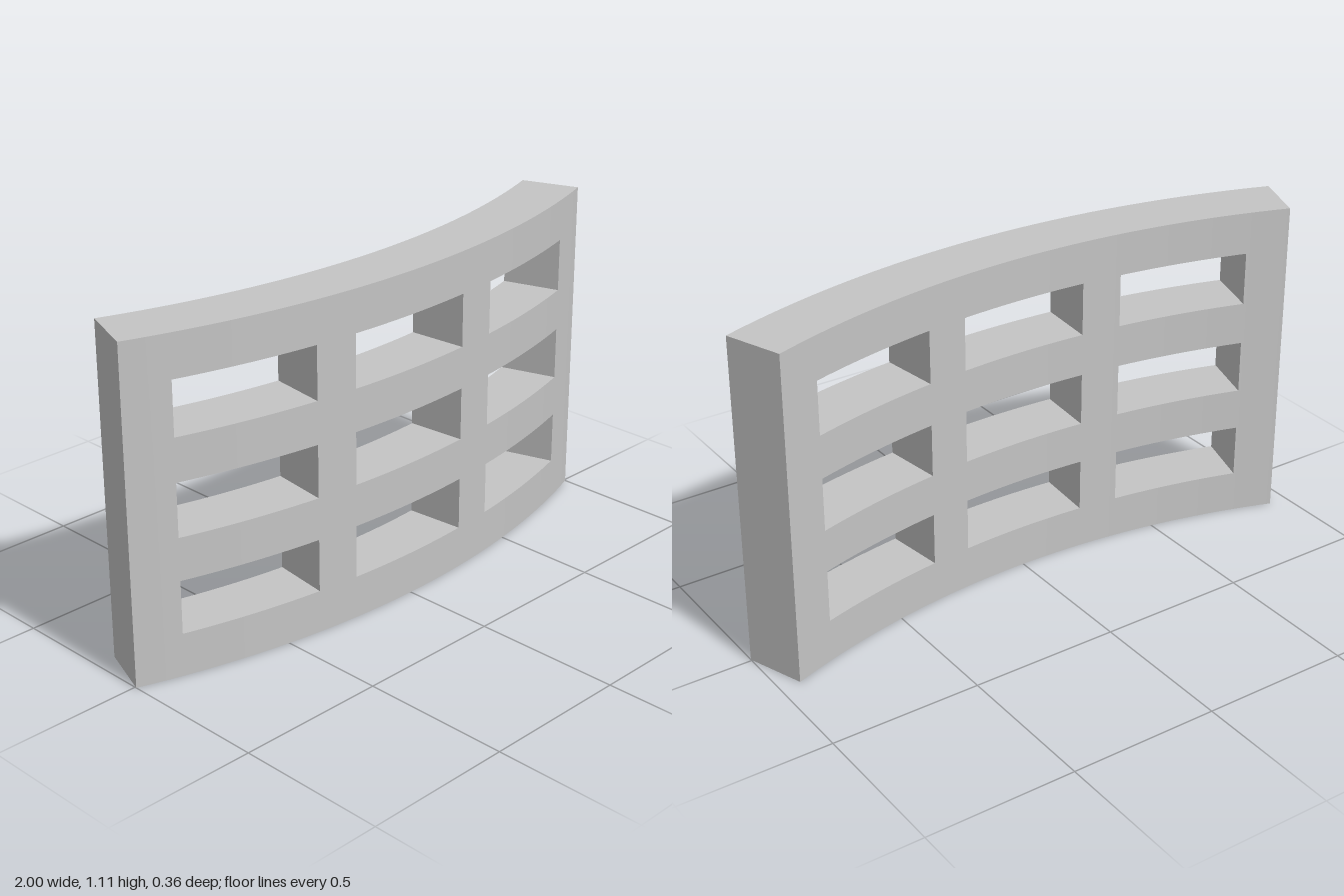
import * as THREE from 'three';

const OUTER = 2.924, INNER = 2.724, CENTRE_Z = -2.742; // arc radii and arc centre
const STEPS = 10; // arc segments per opening

// Opening and bar edges, in degrees around the arc and in height
const ANGLES = [-20, -16.97, -7.55, -4.67, 4.67, 7.55, 16.97, 20];
const HEIGHTS = [0, 0.144, 0.322, 0.464, 0.642, 0.785, 0.964, 1.106];

// Odd column and odd row is an opening; everything else inside the grid is solid
const solid = (c, r) => c >= 0 && r >= 0 && c < 7 && r < 7 && !(c % 2 && r % 2);

function curvedLattice() {
  const pos = [], nor = [], index = [];
  const point = (rad, a, y) => [rad * Math.sin(a), y, rad * Math.cos(a) + CENTRE_Z];
  const radial = (a, s) => [s * Math.sin(a), 0, s * Math.cos(a)];
  const tangent = (a, s) => [s * Math.cos(a), 0, -s * Math.sin(a)];

  // Each corner is [radius, angle, height]; normalAt gives the normal for its angle
  function quad(corners, normalAt) {
    const n = pos.length / 3;
    for (const [rad, a, y] of corners) {
      pos.push(...point(rad, a, y));
      nor.push(...normalAt(a));
    }
    index.push(n, n + 1, n + 2, n, n + 2, n + 3);
  }

  for (let c = 0; c < 7; c++) {
    const start = THREE.MathUtils.degToRad(ANGLES[c]);
    const end = THREE.MathUtils.degToRad(ANGLES[c + 1]);
    const n = c % 2 ? STEPS : 3;
    for (let r = 0; r < 7; r++) {
      if (!solid(c, r)) continue;
      const y0 = HEIGHTS[r], y1 = HEIGHTS[r + 1];
      for (let i = 0; i < n; i++) {
        const a = start + (end - start) * i / n;
        const b = start + (end - start) * (i + 1) / n;
        // Convex front and concave back
        quad([[OUTER, a, y0], [OUTER, b, y0], [OUTER, b, y1], [OUTER, a, y1]], t => radial(t, 1));
        quad([[INNER, b, y0], [INNER, a, y0], [INNER, a, y1], [INNER, b, y1]], t => radial(t, -1));
        // Upper and lower edges of bars
        if (!solid(c, r + 1))
          quad([[OUTER, a, y1], [OUTER, b, y1], [INNER, b, y1], [INNER, a, y1]], () => [0, 1, 0]);
        if (!solid(c, r - 1))
          quad([[INNER, a, y0], [INNER, b, y0], [OUTER, b, y0], [OUTER, a, y0]], () => [0, -1, 0]);
      }
      // Radial side walls
      if (!solid(c + 1, r))
        quad([[OUTER, end, y0], [INNER, end, y0], [INNER, end, y1], [OUTER, end, y1]], t => tangent(t, 1));
      if (!solid(c - 1, r))
        quad([[INNER, start, y0], [OUTER, start, y0], [OUTER, start, y1], [INNER, start, y1]], t => tangent(t, -1));
    }
  }

  const geometry = new THREE.BufferGeometry();
  geometry.setAttribute('position', new THREE.Float32BufferAttribute(pos, 3));
  geometry.setAttribute('normal', new THREE.Float32BufferAttribute(nor, 3));
  geometry.setIndex(index);
  return geometry;
}

export function createModel() {
  const group = new THREE.Group();
  group.name = 'curvedLatticeWall';
  const grey = new THREE.MeshStandardMaterial({ color: 0xc4c4c4 });
  grey.name = 'light grey';
  const panel = new THREE.Mesh(curvedLattice(), grey);
  panel.name = 'latticePanel';
  group.add(panel);
  return group;
}
